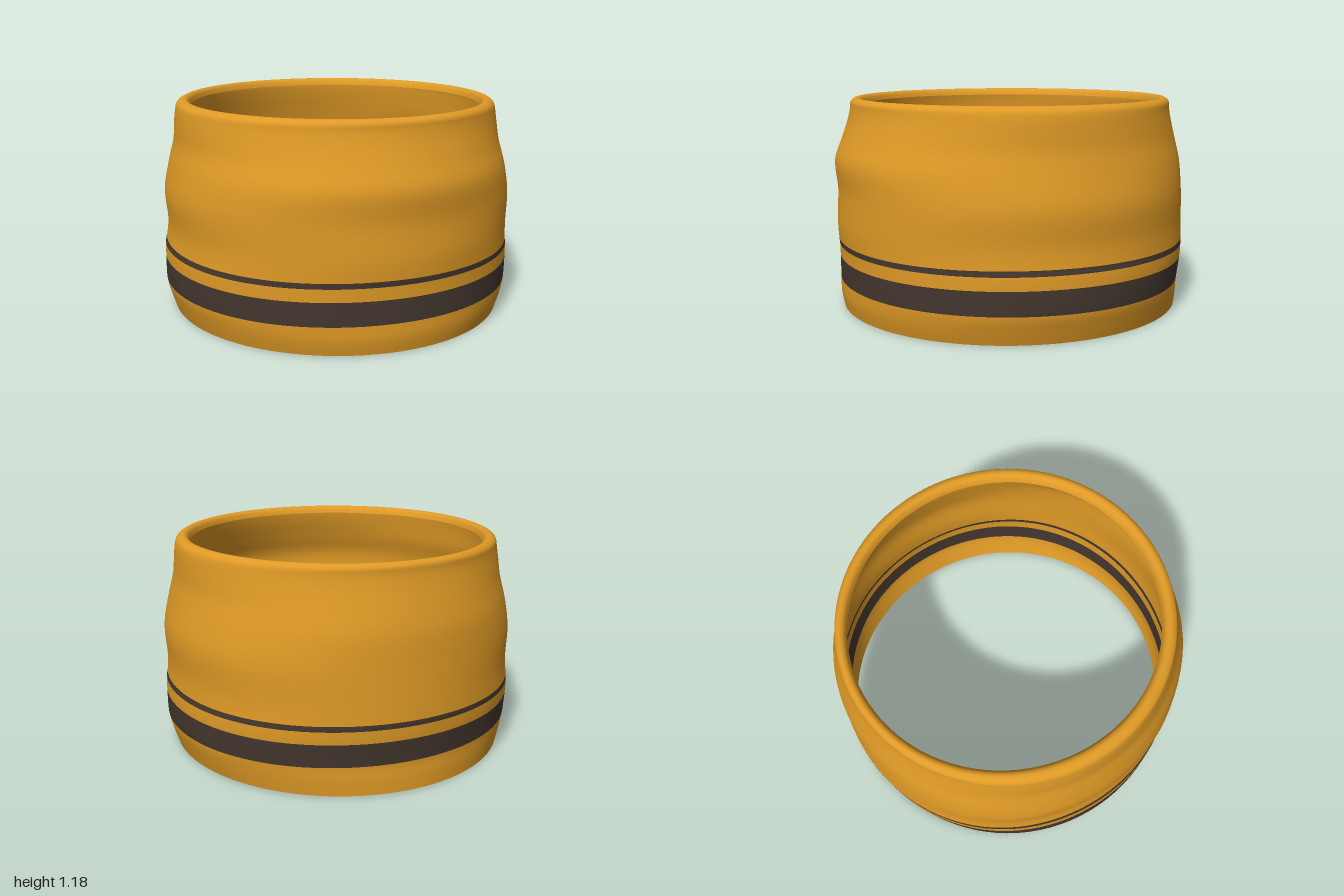
import * as THREE from 'three';

// Wall sections from the foot up and over the rolled rim:
// height, then radius towards +x, +z, -x and -z
const SECTIONS = [
  [0.00, 0.945, 0.970, 0.950, 0.980],
  [0.08, 0.970, 0.985, 0.975, 0.980],
  [0.16, 0.990, 0.985, 0.995, 0.977],
  [0.29, 0.992, 0.985, 0.995, 0.993],
  [0.36, 0.988, 0.987, 0.992, 0.998],
  [0.39, 0.982, 0.990, 0.985, 1.000],
  [0.50, 0.975, 0.995, 0.972, 0.996],
  [0.67, 0.985, 0.987, 0.985, 0.988],
  [0.83, 0.950, 1.000, 0.955, 0.980],
  [0.95, 0.922, 0.960, 0.925, 0.955],
  [1.05, 0.914, 0.925, 0.918, 0.930],
  [1.12, 0.908, 0.908, 0.910, 0.917],
  [1.16, 0.895, 0.903, 0.898, 0.915],
  [1.18, 0.862, 0.875, 0.862, 0.892],
  [1.17, 0.835, 0.845, 0.835, 0.868],
  [1.14, 0.820, 0.830, 0.820, 0.855],
];
const STRIPES = [2, 4]; // sections at which a dark stripe starts
const SIDES = 96;
const STEPS = 4; // rows between two sections

function wallGeometry() {
  const spans = SECTIONS.length - 1;
  const rows = spans * STEPS;
  const curves = [1, 2, 3, 4].map(
    (k) => new THREE.SplineCurve(SECTIONS.map((s) => new THREE.Vector2(s[k], s[0])))
  );
  const positions = [];
  for (let i = 0; i <= rows; i++) {
    const [px, pz, nx, nz] = curves.map((c) => c.getPoint(i / rows));
    for (let j = 0; j < SIDES; j++) {
      const a = (j / SIDES) * Math.PI * 2;
      const cos = Math.cos(a), sin = Math.sin(a);
      // blend the radii of the two nearest directions
      const rx = cos > 0 ? px.x : nx.x;
      const rz = sin > 0 ? pz.x : nz.x;
      const r = rx * cos * cos + rz * sin * sin;
      // slight fullness of the belly on the diagonals
      const belly = 0.012 * Math.sin(2 * a) ** 2 * Math.sin(Math.PI * Math.min(px.y / 1.1, 1));
      positions.push((r + belly) * cos, px.y, (r + belly) * sin);
    }
  }
  const geometry = new THREE.BufferGeometry();
  const index = [];
  for (let s = 0; s < spans; s++) {
    const start = index.length;
    for (let i = s * STEPS; i < (s + 1) * STEPS; i++) {
      for (let j = 0; j < SIDES; j++) {
        const k = (j + 1) % SIDES;
        const a = i * SIDES + j, b = i * SIDES + k;
        const c = a + SIDES, d = b + SIDES;
        index.push(a, c, b, b, c, d);
      }
    }
    geometry.addGroup(start, index.length - start, STRIPES.includes(s) ? 1 : 0);
  }
  geometry.setAttribute('position', new THREE.Float32BufferAttribute(positions, 3));
  geometry.setIndex(index);
  geometry.computeVertexNormals();
  return geometry;
}

export function createModel() {
  const amber = new THREE.MeshStandardMaterial({ color: 0xdf9a26, side: THREE.DoubleSide });
  amber.name = 'amber';
  const darkBrown = new THREE.MeshStandardMaterial({ color: 0x44372f, side: THREE.DoubleSide });
  darkBrown.name = 'dark brown';

  // Open sleeve with a rolled rim and two stripes that show inside and out
  const sleeve = new THREE.Mesh(wallGeometry(), [amber, darkBrown]);
  sleeve.name = 'stripedSleeve';

  const group = new THREE.Group();
  group.name = 'collar';
  group.add(sleeve);
  return group;
}
